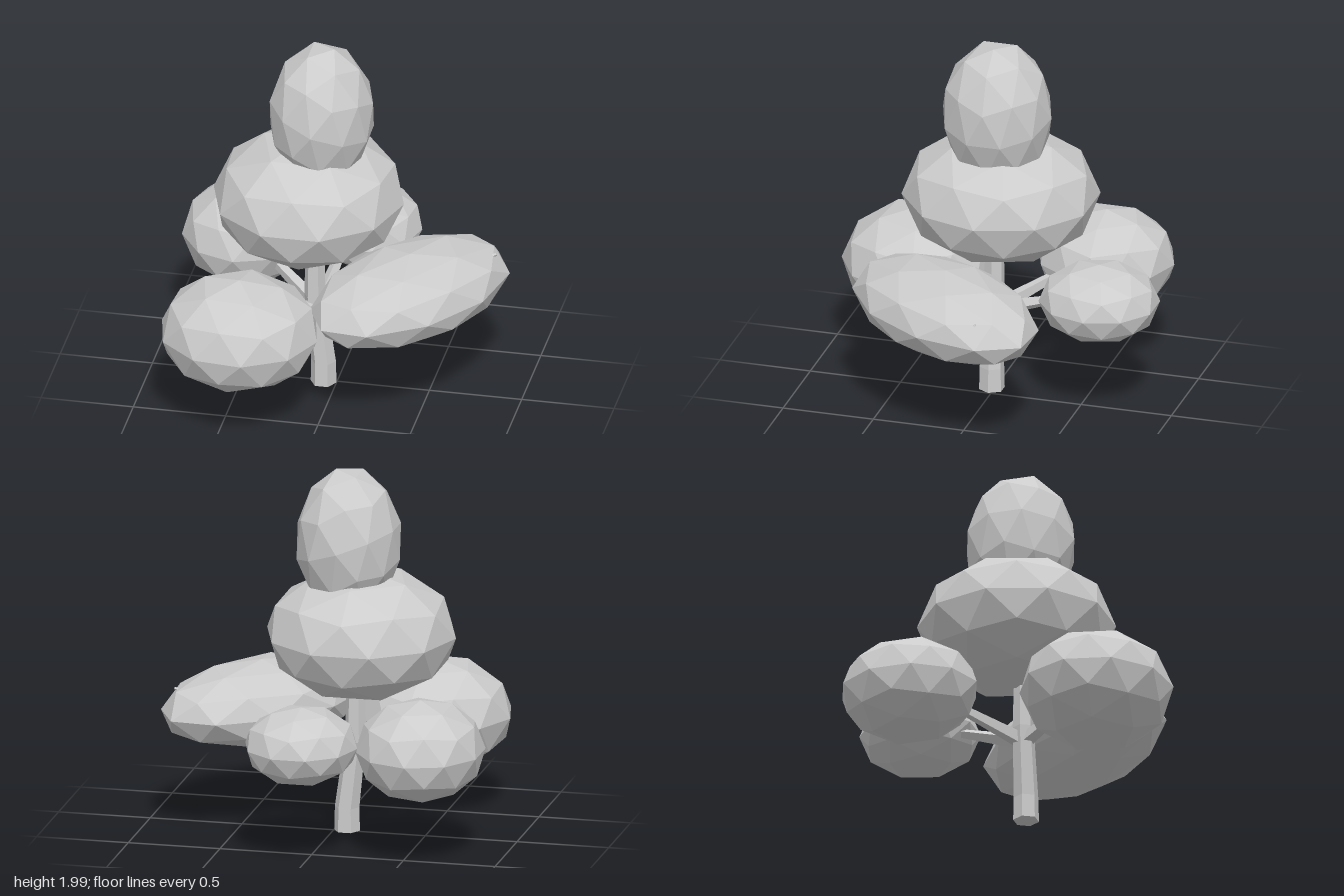
import * as THREE from 'three';

const material = new THREE.MeshStandardMaterial({ color: 0xcccccc, flatShading: true });
const rad = THREE.MathUtils.degToRad;

// Faceted foliage ball with a vertex at the top; phase turns the facets before scaling.
function foliage(name, center, size, { phase = 18, yaw = 0, tilt = 0 } = {}) {
  const geometry = new THREE.IcosahedronGeometry(1, 1);
  geometry.rotateZ(-Math.atan(2 / (1 + Math.sqrt(5))));
  geometry.rotateY(rad(phase));
  geometry.rotateZ(rad(tilt));
  geometry.scale(...size);
  geometry.rotateY(rad(yaw));
  const mesh = new THREE.Mesh(geometry, material);
  mesh.name = name;
  mesh.position.set(...center);
  return mesh;
}

// Straight tapered limb between two points.
function limb(name, from, to, r0, r1, sides) {
  const a = new THREE.Vector3(...from);
  const b = new THREE.Vector3(...to);
  const dir = b.clone().sub(a);
  const mesh = new THREE.Mesh(new THREE.CylinderGeometry(r1, r0, dir.length(), sides), material);
  mesh.name = name;
  mesh.position.copy(a).add(b).multiplyScalar(0.5);
  mesh.quaternion.setFromUnitVectors(new THREE.Vector3(0, 1, 0), dir.normalize());
  return mesh;
}

// Trunk: rises straight, then leans gently towards -x.
function trunk() {
  const geometry = new THREE.CylinderGeometry(0.045, 0.07, 1.04, 6, 8);
  geometry.rotateY(Math.PI / 6);
  geometry.translate(0, 0.52, 0);
  const p = geometry.attributes.position;
  for (let i = 0; i < p.count; i++) {
    const lean = Math.min(Math.max(p.getY(i) - 0.13, 0), 0.39) * 0.12;
    p.setX(i, p.getX(i) - 0.07 - lean);
    p.setZ(i, p.getZ(i) + 0.015);
  }
  const mesh = new THREE.Mesh(geometry, material);
  mesh.name = 'trunk';
  return mesh;
}

export function createModel() {
  const tree = new THREE.Group();
  tree.name = 'tree';
  tree.add(trunk());

  // Branches reaching into the lower foliage
  const fork = [-0.1, 0.45, 0.01];
  const tips = {
    branchLeft: [0.83, 0.77, -0.16],
    branchFrontRight: [-0.5, 0.58, 0.6],
    branchBackRight: [-0.68, 0.66, -0.5],
    branchBackLeft: [-0.02, 0.68, -0.68],
  };
  for (const [name, tip] of Object.entries(tips)) tree.add(limb(name, fork, tip, 0.045, 0.008, 4));

  // Foliage
  tree.add(
    foliage('crownTop', [-0.085, 1.6, -0.01], [0.285, 0.405, 0.3], { tilt: -14, phase: 0 }),
    foliage('crownMiddle', [-0.155, 1.1, -0.01], [0.515, 0.355, 0.53]),
    foliage('foliageLeft', [0.42, 0.655, 0.125], [0.647, 0.225, 0.371], { yaw: 55 }),
    foliage('foliageFrontRight', [-0.42, 0.535, 0.525], [0.43, 0.305, 0.41], { phase: 12 }),
    foliage('foliageBackRight', [-0.585, 0.605, -0.465], [0.345, 0.275, 0.375], { phase: 0 }),
    foliage('foliageBackLeft', [0.03, 0.63, -0.61], [0.305, 0.21, 0.325]),
  );
  return tree;
}
